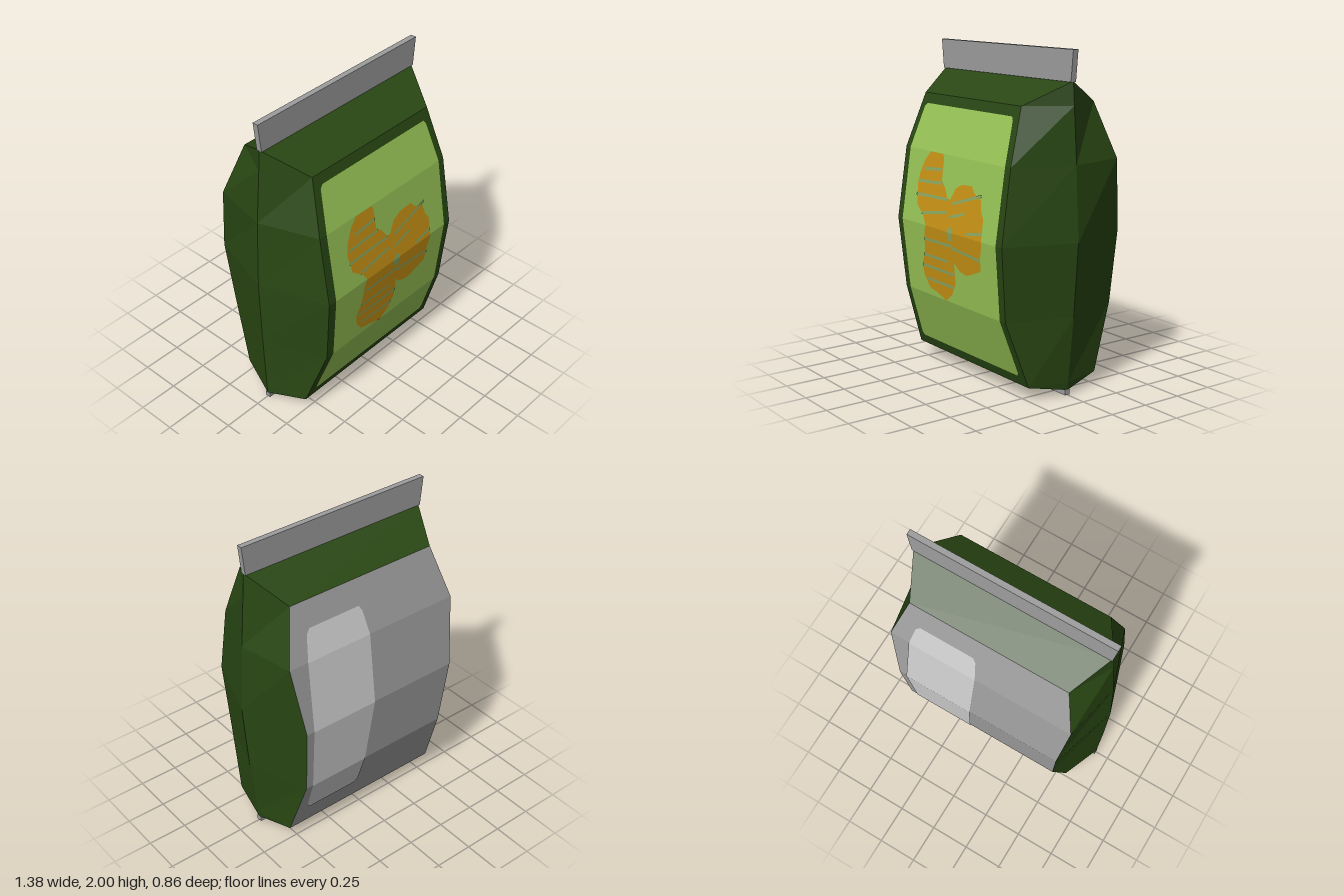
import * as THREE from 'three';

const mat = (name, color) => {
  const m = new THREE.MeshStandardMaterial({ color });
  m.name = name;
  return m;
};

// Cross-sections from bottom to top: height, half depth, then x of the
// front corners, back corners and the side crease (each as [-x side, +x side]).
const rows = [
  { y: 0.03, z: 0, f: [-0.66, 0.605], b: [-0.66, 0.605], m: [-0.66, 0.605] },
  { y: 0.08, z: 0.25, f: [-0.58, 0.56], b: [-0.57, 0.55], m: [-0.663, 0.612] },
  { y: 0.48, z: 0.385, f: [-0.53, 0.52], b: [-0.53, 0.52], m: [-0.68, 0.655] },
  { y: 0.92, z: 0.425, f: [-0.55, 0.54], b: [-0.56, 0.54], m: [-0.692, 0.69] },
  { y: 1.36, z: 0.357, f: [-0.55, 0.53], b: [-0.6, 0.6], m: [-0.675, 0.665] },
  { y: 1.69, z: 0.25, f: [-0.49, 0.485], b: [-0.51, 0.51], m: [-0.645, 0.64] },
  { y: 1.825, z: 0, f: [-0.635, 0.63], b: [-0.635, 0.63], m: [-0.635, 0.63] },
];

// Flat faceted geometry from counter-clockwise quads
function quadGeometry(quads) {
  const pos = [];
  for (const [a, b, c, d] of quads) pos.push(...a, ...b, ...c, ...a, ...c, ...d);
  const g = new THREE.BufferGeometry();
  g.setAttribute('position', new THREE.Float32BufferAttribute(pos, 3));
  g.computeVertexNormals();
  return g;
}

const front = (r, s) => [r.f[s], r.y, r.z];
const back = (r, s) => [r.b[s], r.y, -r.z];
const mid = (r, s) => [r.m[s], r.y, 0];

// Keep the part of a polygon above (sign 1) or below (sign -1) a height
function clip(points, h, sign) {
  const out = [];
  points.forEach((p, i) => {
    const q = points[(i + 1) % points.length];
    const dp = (p[1] - h) * sign, dq = (q[1] - h) * sign;
    if (dp >= 0) out.push(p);
    if (dp * dq < 0) {
      const t = dp / (dp - dq);
      out.push([p[0] + (q[0] - p[0]) * t, h]);
    }
  });
  return out;
}

// Thin decal that follows the folds of the bag's front
function addDecal(parent, name, points, material, lift) {
  const group = new THREE.Group();
  group.name = name;
  for (let i = 1; i < 5; i++) {
    const lo = rows[i], hi = rows[i + 1];
    const part = clip(clip(points, lo.y, 1), hi.y, -1);
    if (part.length < 3) continue;
    const g = new THREE.ShapeGeometry(new THREE.Shape(part.map(p => new THREE.Vector2(...p))));
    const pos = g.attributes.position;
    for (let k = 0; k < pos.count; k++) {
      const t = (pos.getY(k) - lo.y) / (hi.y - lo.y);
      pos.setZ(k, lo.z + (hi.z - lo.z) * t + lift);
    }
    g.computeVertexNormals();
    const mesh = new THREE.Mesh(g, material);
    mesh.name = name;
    group.add(mesh);
  }
  parent.add(group);
  return group;
}

// Flat crimped strip, with different widths at its two ends
function seal(name, y0, y1, bottom, top, material) {
  const t = 0.018;
  const shape = new THREE.Shape([
    new THREE.Vector2(bottom[0], y0), new THREE.Vector2(bottom[1], y0),
    new THREE.Vector2(top[1], y1), new THREE.Vector2(top[0], y1),
  ]);
  const g = new THREE.ExtrudeGeometry(shape, { depth: 2 * t, bevelEnabled: false });
  g.translate(0, 0, -t);
  const mesh = new THREE.Mesh(g, material);
  mesh.name = name;
  return mesh;
}

export function createModel() {
  const model = new THREE.Group();
  model.name = 'snackBag';
  const green = mat('darkGreen', 0x294713);
  const lime = mat('limeGreen', 0x98c456);
  const orange = mat('orange', 0xc89214);
  const sage = mat('sageGreen', 0x8aa862);
  const grey = mat('foilGrey', 0x9d9d9d);
  const pale = mat('paleGrey', 0xcccccc);

  // Puffed body: green front, sides and shoulders, grey back
  const greenQuads = [], greyQuads = [];
  for (let i = 0; i < rows.length - 1; i++) {
    const a = rows[i], b = rows[i + 1];
    greenQuads.push([front(a, 0), front(a, 1), front(b, 1), front(b, 0)]);
    const isEnd = i === 0 || i === rows.length - 2;
    (isEnd ? greenQuads : greyQuads).push([back(a, 1), back(a, 0), back(b, 0), back(b, 1)]);
    greenQuads.push(
      [front(a, 1), mid(a, 1), mid(b, 1), front(b, 1)],
      [mid(a, 1), back(a, 1), back(b, 1), mid(b, 1)],
      [back(a, 0), mid(a, 0), mid(b, 0), back(b, 0)],
      [mid(a, 0), front(a, 0), front(b, 0), mid(b, 0)],
    );
  }
  const body = new THREE.Mesh(quadGeometry(greenQuads), green);
  body.name = 'body';
  const backPanel = new THREE.Mesh(quadGeometry(greyQuads), grey);
  backPanel.name = 'backPanel';
  model.add(body, backPanel);

  // Seals
  model.add(seal('topSeal', 1.82, 2, [-0.635, 0.63], [-0.655, 0.648], grey));
  model.add(seal('bottomSeal', 0, 0.032, [-0.66, 0.605], [-0.66, 0.605], grey));

  // Front panel
  addDecal(model, 'frontPanel', [
    [-0.5, 0.14], [0.485, 0.14], [0.498, 0.16], [0.47, 0.48], [0.485, 0.92], [0.483, 1.36],
    [0.445, 1.61], [0.43, 1.63], [-0.435, 1.63], [-0.455, 1.61], [-0.497, 1.36],
    [-0.495, 0.92], [-0.478, 0.48], [-0.515, 0.16],
  ], lime, 0.003);

  // Three crisps
  addDecal(model, 'crisps', [
    [-0.26, 1.36], [-0.13, 1.36], [-0.115, 1.34], [-0.11, 1.2], [-0.07, 1.17], [-0.03, 1.11],
    [0, 1.11], [0.04, 1.18], [0.1, 1.21], [0.2, 1.215], [0.23, 1.18], [0.3, 1.15],
    [0.32, 1.08], [0.345, 1.05], [0.35, 0.9], [0.33, 0.83], [0.32, 0.74], [0.24, 0.71],
    [0.17, 0.685], [0.1, 0.7], [0.05, 0.74], [0.05, 0.61], [0, 0.53], [-0.07, 0.48],
    [-0.15, 0.51], [-0.24, 0.53], [-0.29, 0.6], [-0.3, 0.67], [-0.26, 0.75], [-0.25, 0.87],
    [-0.23, 0.92], [-0.26, 0.97], [-0.34, 1.03], [-0.365, 1.15], [-0.35, 1.23], [-0.31, 1.31],
  ], orange, 0.006);

  // Ridges across the crisps: x0, y0, x1, y1
  const ridges = [
    [-0.29, 1.255, -0.115, 1.27], [-0.35, 1.175, -0.1, 1.19], [-0.36, 1.095, -0.03, 1.105],
    [-0.28, 0.99, -0.02, 1.03], [0.03, 1.09, 0.31, 1.175], [0.02, 1.01, 0.16, 1.05],
    [0.2, 0.94, 0.345, 0.965], [-0.25, 0.835, 0.04, 0.84], [0.04, 0.83, 0.33, 0.805],
    [-0.27, 0.735, -0.01, 0.735], [-0.295, 0.665, 0.05, 0.665], [-0.25, 0.585, 0.02, 0.582],
  ];
  for (const [x0, y0, x1, y1] of ridges) {
    const h = 0.009;
    addDecal(model, 'crispRidge', [[x0, y0 - h], [x1, y1 - h], [x1, y1 + h], [x0, y0 + h]], sage, 0.009);
  }
  addDecal(model, 'crispGap', [
    [0.02, 0.865], [0.05, 0.87], [0.06, 0.94], [0.03, 0.96], [0.0, 0.92],
  ], sage, 0.009);

  // Pale label on the back, outlined as seen from behind
  const label = addDecal(model, 'backLabel', [
    [-0.44, 0.24], [-0.09, 0.24], [-0.07, 0.27], [-0.075, 0.48], [-0.04, 0.92], [-0.03, 1.36],
    [-0.05, 1.51], [-0.07, 1.54], [-0.42, 1.54], [-0.445, 1.51], [-0.475, 1.36],
    [-0.49, 0.92], [-0.475, 0.48], [-0.465, 0.27],
  ], pale, 0.004);
  label.rotation.y = Math.PI;

  return model;
}
